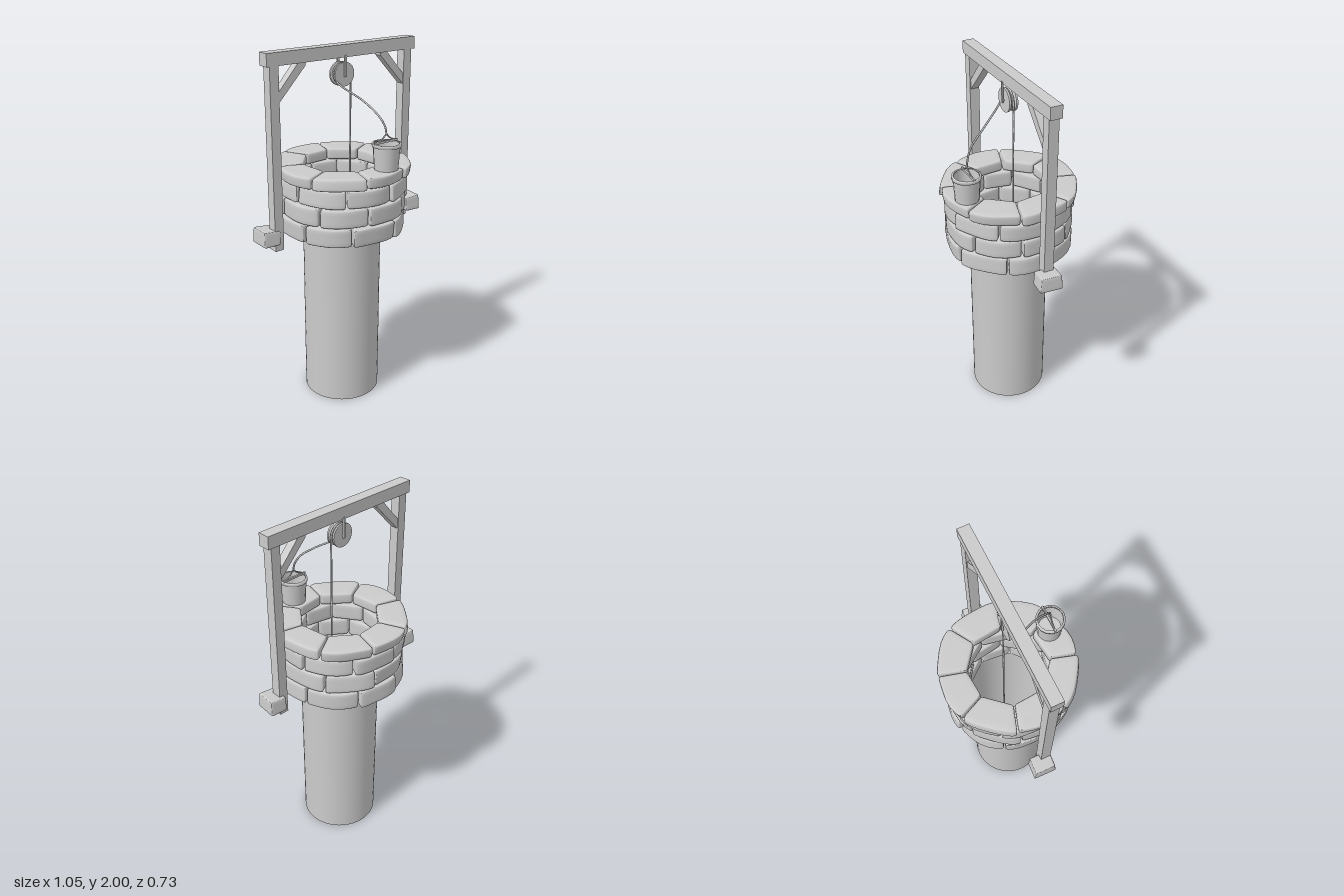
import * as THREE from 'three';
import { mergeVertices } from 'three/addons/utils/BufferGeometryUtils.js';

const grey = new THREE.MeshStandardMaterial({ color: 0xcccccc });
const greyBoth = new THREE.MeshStandardMaterial({ color: 0xcccccc, side: THREE.DoubleSide });

let seed = 7;
const rand = () => {
  seed = (seed * 16807) % 2147483647;
  return seed / 2147483647 * 2 - 1; // -1..1
};

function add(parent, name, geometry, material = grey) {
  const mesh = new THREE.Mesh(geometry, material);
  mesh.name = name;
  parent.add(mesh);
  return mesh;
}

function box(parent, name, x0, x1, y0, y1, z0, z1) {
  const m = add(parent, name, new THREE.BoxGeometry(x1 - x0, y1 - y0, z1 - z0));
  m.position.set((x0 + x1) / 2, (y0 + y1) / 2, (z0 + z1) / 2);
  return m;
}

function rope(parent, name, points, radius) {
  const curve = new THREE.CatmullRomCurve3(points.map(p => new THREE.Vector3(...p)));
  return add(parent, name, new THREE.TubeGeometry(curve, 24, radius, 6));
}

// Round-edged block; each vertex is then moved by warp(v)
function stoneGeometry(hx, hy, hz, round, warp) {
  const g = new THREE.BoxGeometry(2, 2, 2, 10, 8, 8);
  g.deleteAttribute('normal');
  g.deleteAttribute('uv');
  const pos = g.attributes.position, v = new THREE.Vector3(), core = new THREE.Vector3();
  const inner = new THREE.Vector3(hx - round, hy - round, hz - round);
  const dense = t => Math.sign(t) * (1 - (1 - Math.abs(t)) ** 2); // cluster rows at the edges
  for (let i = 0; i < pos.count; i++) {
    v.fromBufferAttribute(pos, i);
    v.set(dense(v.x) * hx, dense(v.y) * hy, dense(v.z) * hz);
    core.copy(v).clamp(inner.clone().negate(), inner);
    v.sub(core).setLength(round).add(core);
    warp(v);
    pos.setXYZ(i, v.x, v.y, v.z);
  }
  const merged = mergeVertices(g, 1e-5);
  merged.computeVertexNormals();
  return merged;
}

// Stone bent around the well between two angles in degrees
function wedge(a0, a1, y0, y1, outer) {
  const mid = THREE.MathUtils.degToRad((a0 + a1) / 2);
  const half = THREE.MathUtils.degToRad((a1 - a0) / 2 - 0.6);
  const hx = 0.12, hy = (y1 - y0) / 2, hz = 0.08;
  const tilt = rand() * 0.004, lean = rand() * 0.006, phase = rand() * 3, grow = rand() * 0.004;
  return stoneGeometry(hx, hy, hz, 0.015, v => {
    const u = v.x / hx, t = (v.z / hz + 1) / 2, a = mid + u * half;
    const rIn = 0.2 / Math.cos(u * half); // straight inner side
    const rOut = outer + grow + lean * v.y / hy + 0.005 * Math.sin(u * 3 + phase);
    const r = THREE.MathUtils.lerp(rIn, rOut, t);
    v.set(r * Math.cos(a), (y0 + y1) / 2 + v.y + tilt * u * t, -r * Math.sin(a));
  });
}

export function createModel() {
  const model = new THREE.Group();
  model.name = 'well';

  // Shaft with a floor just above its lower rim
  const shaft = add(model, 'shaft', new THREE.CylinderGeometry(0.215, 0.215, 1.03, 48, 1, true), greyBoth);
  shaft.position.y = 0.515;
  const water = add(model, 'water', new THREE.CircleGeometry(0.215, 48), greyBoth);
  water.rotation.x = -Math.PI / 2;
  water.position.y = 0.035;

  // Four staggered rings of stones
  const wall = new THREE.Group();
  wall.name = 'stoneWall';
  model.add(wall);
  const rows = [
    { y0: 1.012, y1: 1.115, start: 17, outer: 0.346 },
    { y0: 1.12, y1: 1.221, start: 32, outer: 0.346 },
    { y0: 1.226, y1: 1.32, start: 12, outer: 0.346 },
    { y0: 1.324, y1: 1.388, cuts: [30, 74, 115, 162, 207, 254, 299, 344], outer: 0.361 },
  ];
  for (const row of rows) {
    const cuts = row.cuts ?? Array.from({ length: 8 }, (_, i) => row.start + i * 45 + rand() * 2);
    cuts.forEach((a, i) => {
      const next = i < 7 ? cuts[i + 1] : cuts[0] + 360;
      add(wall, 'wallStone', wedge(a, next, row.y0, row.y1, row.outer));
    });
  }

  // Wooden frame
  const frame = new THREE.Group();
  frame.name = 'frame';
  model.add(frame);
  box(frame, 'crossBeam', -0.473, 0.473, 1.935, 2, -0.032, 0.032);
  for (const s of [-1, 1]) {
    const post = box(frame, s > 0 ? 'leftPost' : 'rightPost', -0.026, 0.026, 0.975, 1.936, -0.027, 0.027);
    post.position.x = s * 0.429;
    const outline = [[0.404, 1.75], [0.404, 1.805], [0.285, 1.936], [0.24, 1.936], [0.242, 1.918]];
    const shape = new THREE.Shape(outline.map(([x, y]) => new THREE.Vector2(s * x, y)));
    const brace = add(frame, 'brace', new THREE.ExtrudeGeometry(shape, { depth: 0.044, bevelEnabled: false }));
    brace.position.z = -0.022;

    // Loose stone bracing the post foot
    const skew = rand() * 0.08;
    const foot = add(model, 'footStone', stoneGeometry(0.048, 0.041, 0.06, 0.009, v => {
      v.x += v.z * skew;
      v.y *= 1 + v.x * 1.2 * s;
      v.z *= 1 - v.y * 1.5;
    }));
    foot.position.set(s * 0.472, 1.051, s > 0 ? 0.012 : -0.028);
    foot.rotation.set(0, -0.08, 0.04 * s);
  }

  // Pulley wheel, grooved for the rope, with its hanger
  const profile = [[0, -0.024], [0.063, -0.024], [0.063, -0.014], [0.053, -0.006],
    [0.053, 0.006], [0.063, 0.014], [0.063, 0.024], [0, 0.024]];
  let wheelGeometry = new THREE.LatheGeometry(profile.map(p => new THREE.Vector2(...p)), 20).toNonIndexed();
  wheelGeometry.computeVertexNormals();
  const wheel = add(model, 'pulleyWheel', wheelGeometry);
  wheel.rotation.x = Math.PI / 2;
  wheel.position.y = 1.847;
  for (const s of [-1, 1]) {
    const strap = box(model, 'pulleyHanger', -0.006, 0.006, 1.835, 1.945, -0.004, 0.004);
    strap.position.z = s * 0.032;
  }
  const axle = add(model, 'pulleyAxle', new THREE.CylinderGeometry(0.005, 0.005, 0.07, 8));
  axle.rotation.x = Math.PI / 2;
  axle.position.y = 1.847;

  // Rope: down the shaft, over the wheel, and across to the bucket
  rope(model, 'shaftRope', [[0.057, 1.85, 0], [0.057, 1, 0], [0.057, 0.04, 0]], 0.005);
  const arc = Array.from({ length: 9 }, (_, i) => {
    const a = i / 8 * Math.PI;
    return [0.057 * Math.cos(a), 1.847 + 0.057 * Math.sin(a), 0];
  });
  rope(model, 'wheelRope', arc, 0.005);
  rope(model, 'bucketRope', [[-0.057, 1.847, 0], [-0.048, 1.81, 0.025], [0.025, 1.725, 0.155],
    [0.057, 1.66, 0.235], [0.075, 1.61, 0.262], [0.079, 1.57, 0.27]], 0.005);

  // Bucket
  const bucket = new THREE.Group();
  bucket.name = 'bucket';
  bucket.position.set(0.079, 1.388, 0.273);
  model.add(bucket);
  const lathe = (name, pts) => add(bucket, name,
    new THREE.LatheGeometry(pts.map(p => new THREE.Vector2(...p)), 16), greyBoth);
  lathe('bucketWall', [[0.063, 0], [0.072, 0.135]]);
  lathe('bucketInside', [[0.058, 0.015], [0.066, 0.135]]);
  lathe('bucketRim', [[0.066, 0.122], [0.077, 0.122], [0.077, 0.138], [0.066, 0.138]]);
  for (const y of [0, 0.04]) {
    const disc = add(bucket, 'bucketFloor', new THREE.CircleGeometry(0.062, 16), greyBoth);
    disc.rotation.x = -Math.PI / 2;
    disc.position.y = y;
  }
  box(bucket, 'bucketBar', -0.077, 0.077, 0.138, 0.149, -0.014, -0.004);
  for (const s of [-1, 1]) {
    rope(bucket, 'bucketSling', [[s * 0.062, 0.145, -0.009], [s * 0.025, 0.162, -0.006], [0, 0.185, -0.003]], 0.004);
  }
  return model;
}
